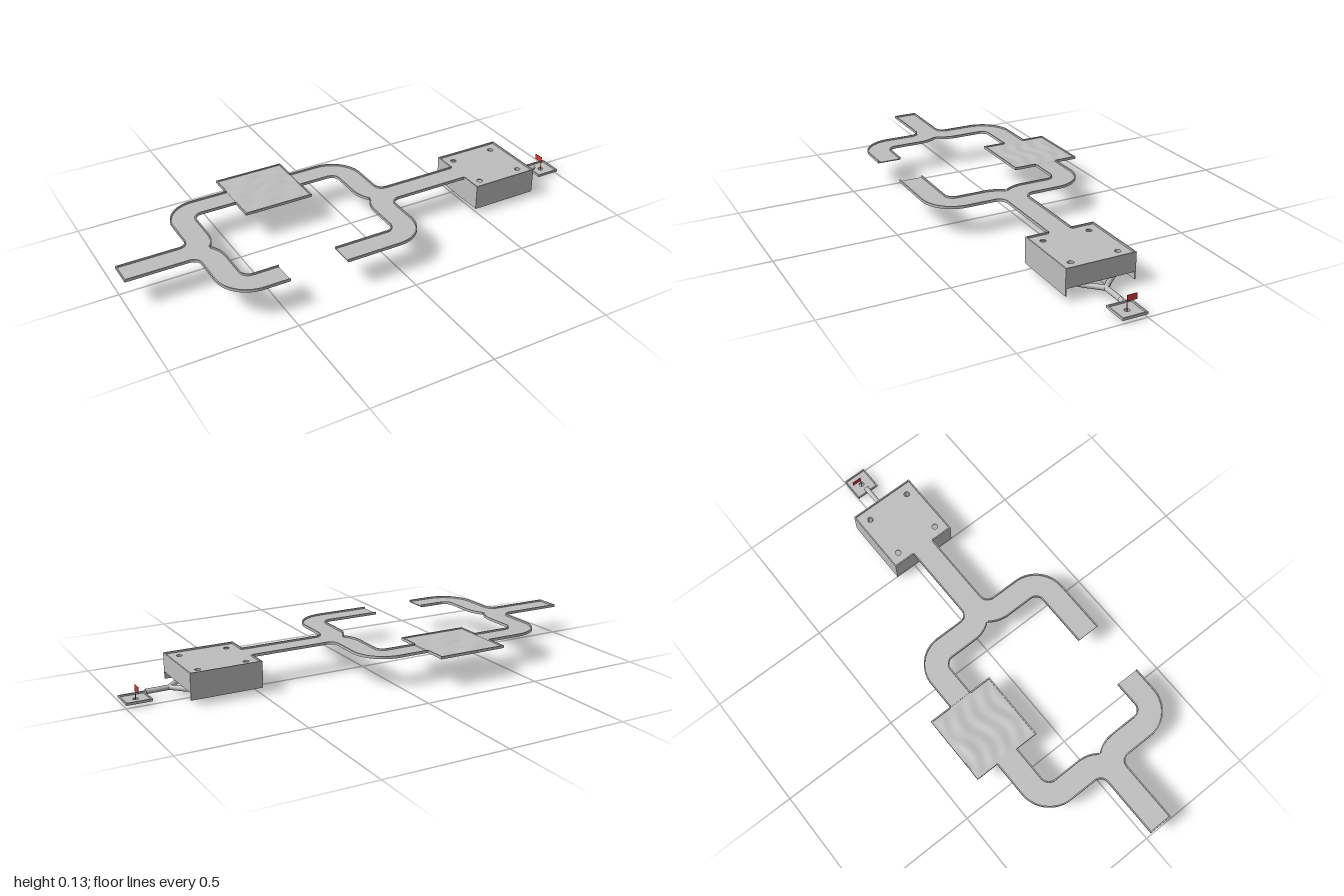
import * as THREE from 'three';
import { toCreasedNormals } from 'three/addons/utils/BufferGeometryUtils.js';

const ZC = 0.05;                          // centre line of the course
const HALF = 0.051, RAIL = 0.005;         // lane half width, rail thickness
const Y0 = 0.119, FLOOR = 0.123, TOP = 0.13;
const R = 0.086, OFF = 0.29;              // bend radius, lane offset from centre

export function createModel() {
  const root = new THREE.Group();
  const grey = new THREE.MeshStandardMaterial({ color: 0xbebebe });
  grey.name = 'courseGrey';
  grey.side = THREE.DoubleSide;
  const red = new THREE.MeshStandardMaterial({ color: 0xd83a3a });
  red.name = 'flagRed';

  const add = (name, geo, mat = grey, parent = root) => {
    const m = new THREE.Mesh(geo, mat);
    m.name = name;
    parent.add(m);
    return m;
  };
  const box = (name, x0, x1, y0, y1, z0, z1, mat = grey, parent = root) =>
    add(name, new THREE.BoxGeometry(x1 - x0, y1 - y0, z1 - z0)
      .translate((x0 + x1) / 2, (y0 + y1) / 2, (z0 + z1) / 2), mat, parent);

  // Rectangular section (u0..u1 sideways, y0..y1 up) swept along a plan path
  function sweep(path, u0, u1, y0, y1, keep = () => true) {
    const pos = [], idx = [];
    let n = 0;
    path.forEach((p, i) => {
      const a = path[Math.max(i - 1, 0)], b = path[Math.min(i + 1, path.length - 1)];
      const t = b.clone().sub(a).normalize();
      const at = (u) => [p.x - t.y * u, p.y + t.x * u];
      const [ax, az] = at(u0), [bx, bz] = at(u1);
      if (!keep((az + bz) / 2)) return;
      pos.push(ax, y0, az, bx, y0, bz, bx, y1, bz, ax, y1, az);
      n++;
    });
    for (let i = 0; i < n - 1; i++) for (let k = 0; k < 4; k++) {
      const l = (k + 1) % 4, a = i * 4 + k, b = a + 4, c = i * 4 + 4 + l, d = i * 4 + l;
      idx.push(a, b, c, a, c, d);
    }
    const e = (n - 1) * 4;
    idx.push(0, 1, 2, 0, 2, 3, e, e + 2, e + 1, e, e + 3, e + 2);
    const g = new THREE.BufferGeometry();
    g.setAttribute('position', new THREE.Float32BufferAttribute(pos, 3));
    g.setIndex(idx);
    return toCreasedNormals(g, 0.6);
  }

  // Flat plate with optional round holes
  function plate(x0, x1, y0, y1, z0, z1, holes, r) {
    const s = new THREE.Shape([[x0, -z0], [x0, -z1], [x1, -z1], [x1, -z0]]
      .map(([x, y]) => new THREE.Vector2(x, y)));
    for (const [x, z] of holes) {
      const h = new THREE.Path();
      h.absarc(x, -z, r, 0, Math.PI * 2, true);
      s.holes.push(h);
    }
    return new THREE.ExtrudeGeometry(s, { depth: y1 - y0, bevelEnabled: false, curveSegments: 12 })
      .rotateX(-Math.PI / 2).translate(0, y0, 0);
  }

  // Straight entry and exit lanes
  function straightLane(name, x0, x1) {
    const g = new THREE.Group();
    g.name = name;
    root.add(g);
    box('laneFloor', x0, x1, Y0, FLOOR, ZC - HALF, ZC + HALF, grey, g);
    for (const s of [-1, 1]) {
      const a = ZC + s * HALF, b = ZC + s * (HALF - RAIL);
      box('laneRail', x0, x1, Y0, TOP, Math.min(a, b), Math.max(a, b), grey, g);
    }
  }
  straightLane('entryLane', -1, -0.749);
  box('entryEndRail', -1, -1 + RAIL, Y0, TOP, ZC - HALF, ZC + HALF);
  straightLane('exitLane', 0.167, 0.49);

  // Four S-shaped branches: m mirrors in x, s mirrors across the centre line
  function branch(m, s, xStart, xEnd) {
    const pts = [], N = 24;
    const xv = xStart + m * R;
    for (let i = 0; i <= N; i++) {
      const a = (i / N) * Math.PI / 2;
      pts.push(new THREE.Vector2(xStart + m * R * Math.sin(a), ZC + s * R * (1 - Math.cos(a))));
    }
    for (let i = 0; i <= N; i++) {
      const a = (i / N) * Math.PI / 2;
      pts.push(new THREE.Vector2(xv + m * R * (1 - Math.cos(a)), ZC + s * (OFF - R + R * Math.sin(a))));
    }
    pts.push(new THREE.Vector2(xEnd, ZC + s * OFF));
    const g = new THREE.Group();
    g.name = 'branchLane';
    root.add(g);
    add('branchFloor', sweep(pts, -HALF, HALF, Y0, FLOOR), grey, g);
    for (const side of [-1, 1]) {
      const u = [side * HALF, side * (HALF - RAIL)].sort((a, b) => a - b);
      // the rail facing the fork stops where both branches meet
      const keep = side === -s * m ? (z) => s * (z - ZC) >= -0.002 : undefined;
      add('branchRail', sweep(pts, u[0], u[1], Y0, TOP, keep), grey, g);
    }
  }
  branch(1, -1, -0.749, -0.427);
  branch(1, 1, -0.749, -0.473);
  branch(-1, -1, 0.167, -0.13);
  branch(-1, 1, 0.167, -0.233);

  // Bumpy square panel
  const px0 = -0.427, px1 = -0.13, pz = ZC - OFF, ph = 0.147;
  box('bumpPanelBase', px0, px1, Y0, 0.121, pz - ph, pz + ph);
  const bumps = new THREE.PlaneGeometry(px1 - px0 - 0.006, 2 * ph - 0.006, 40, 40).rotateX(-Math.PI / 2);
  const bp = bumps.attributes.position;
  for (let i = 0; i < bp.count; i++) {
    const x = bp.getX(i), z = bp.getZ(i);
    const fade = Math.min(1, (ph - Math.abs(x)) / 0.03, (ph - Math.abs(z)) / 0.03);
    const w = Math.sin(z * 95 + 1.5 * Math.sin(x * 28)) * 0.6 + Math.sin(x * 42 + z * 30) * 0.4;
    const hill = 0.004 * Math.exp(-((x / 0.06) ** 2) - (((z + 0.09) / 0.025) ** 2));
    bp.setY(i, 0.125 + fade * (0.0024 * w + hill));
  }
  bumps.computeVertexNormals();
  add('bumpySurface', bumps).position.set((px0 + px1) / 2, 0, pz);
  for (const s of [-1, 1]) {
    const z = pz + s * (ph - RAIL / 2);
    box('bumpPanelSideRail', px0, px1, Y0, TOP, z - RAIL / 2, z + RAIL / 2);
    for (const x of [px0, px1 - RAIL]) {
      const a = pz + s * HALF, b = pz + s * ph;
      box('bumpPanelEndRail', x, x + RAIL, Y0, TOP, Math.min(a, b), Math.max(a, b));
    }
  }

  // Hollow box with four holes in its deck
  const bx0 = 0.49, bx1 = 0.782, bh = 0.1445, low = 0.023, hole = 0.012;
  const holes = [];
  for (const x of [0.537, 0.733]) for (const s of [-1, 1]) holes.push([x, ZC + s * 0.097]);
  add('boxDeck', plate(bx0, bx1, Y0, FLOOR, ZC - bh, ZC + bh, holes, hole));
  box('boxBackWall', bx0, bx0 + RAIL, low, FLOOR, ZC - bh, ZC + bh);
  box('boxOutletWall', bx1 - RAIL, bx1, 0.052, TOP, ZC - bh, ZC + bh);
  for (const s of [-1, 1]) {
    const z = ZC + s * (bh - RAIL / 2);
    box('boxSideWall', bx0, bx1, low, TOP, z - RAIL / 2, z + RAIL / 2);
    const a = ZC + s * HALF, b = ZC + s * bh;
    box('boxEntryRail', bx0, bx0 + RAIL, Y0, TOP, Math.min(a, b), Math.max(a, b));
  }

  // Two pipes dropping from the deck and joining into one outlet
  const tube = (name, pts, segs) => add(name, new THREE.TubeGeometry(
    new THREE.CatmullRomCurve3(pts.map((p) => new THREE.Vector3(...p))), segs, 0.0105, 12, false));
  for (const s of [-1, 1]) {
    tube('dropPipe', [
      [0.733, 0.121, ZC + s * 0.097], [0.733, 0.07, ZC + s * 0.097], [0.74, 0.046, ZC + s * 0.086],
      [0.762, 0.038, ZC + s * 0.055], [0.79, 0.037, ZC + s * 0.024], [0.815, 0.037, ZC],
    ], 32);
  }
  tube('outletPipe', [[0.808, 0.037, ZC], [0.86, 0.0365, ZC], [0.908, 0.036, ZC]], 4);

  // Final green with rails, cup and flag
  const gx0 = 0.897, gx1 = 1, cx = 0.947;
  add('greenFloor', plate(gx0, gx1, 0.012, 0.015, ZC - HALF, ZC + HALF, [[cx, ZC]], 0.011));
  for (const s of [-1, 1]) {
    const z = ZC + s * (HALF - RAIL / 2);
    box('greenSideRail', gx0, gx1, 0.012, 0.022, z - RAIL / 2, z + RAIL / 2);
  }
  for (const x of [gx0, gx1 - RAIL]) box('greenEndRail', x, x + RAIL, 0.012, 0.022, ZC - HALF, ZC + HALF);
  add('cupWall', new THREE.CylinderGeometry(0.011, 0.011, 0.015, 20, 1, true)).position.set(cx, 0.0075, ZC);
  add('cupBottom', new THREE.CylinderGeometry(0.011, 0.011, 0.002, 20)).position.set(cx, 0.001, ZC);
  add('flagPole', new THREE.CylinderGeometry(0.0015, 0.0015, 0.07, 8), red).position.set(cx, 0.037, ZC);
  box('flagCloth', cx - 0.001, cx + 0.001, 0.048, 0.072, 0.01, ZC, red);

  return root;
}
